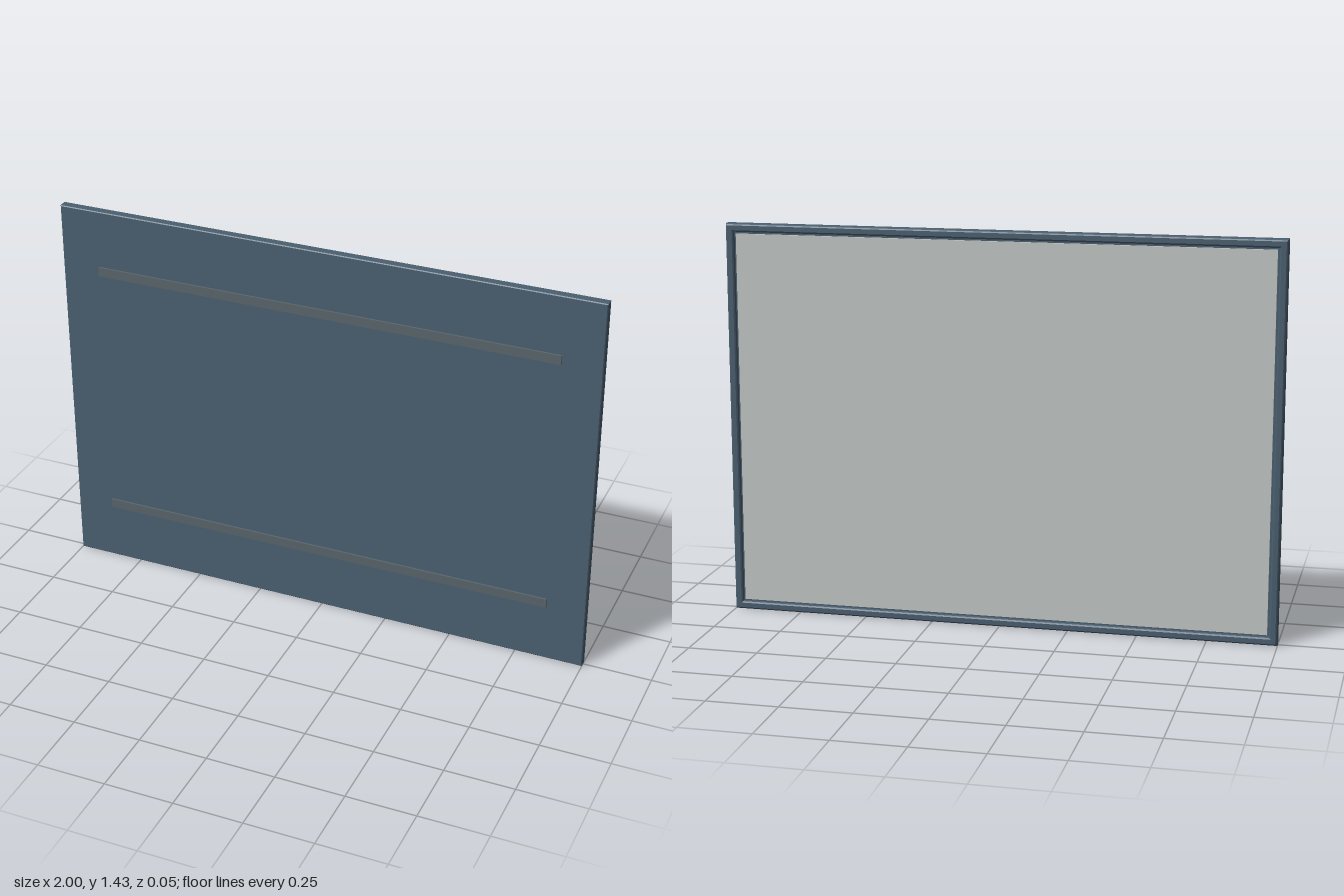
import * as THREE from 'three';

const W = 2, H = 1.43;

// Sweeps a profile of [inset, z] pairs around the rectangle, with mitred corners.
function sweepRectangle(profile) {
  const positions = [];
  const corner = ([inset, z], k) => {
    const sx = k === 0 || k === 1 ? 1 : -1;
    const sy = k === 1 || k === 2 ? 1 : -1;
    return [sx * (W / 2 - inset), sy * (H / 2 - inset), z];
  };
  for (let i = 0; i < profile.length - 1; i++) {
    for (let k = 0; k < 4; k++) {
      const n = (k + 1) % 4;
      const a = corner(profile[i], k), b = corner(profile[i], n);
      const c = corner(profile[i + 1], n), d = corner(profile[i + 1], k);
      positions.push(...a, ...d, ...c, ...a, ...c, ...b);
    }
  }
  const geometry = new THREE.BufferGeometry();
  geometry.setAttribute('position', new THREE.Float32BufferAttribute(positions, 3));
  geometry.computeVertexNormals();
  return geometry;
}

export function createModel() {
  const group = new THREE.Group();
  const frameMaterial = new THREE.MeshStandardMaterial({ color: 0x4a5f70 });
  const panelMaterial = new THREE.MeshStandardMaterial({ color: 0xc4c9c7 });
  const railMaterial = new THREE.MeshStandardMaterial({ color: 0x59666b });

  const add = (name, geometry, material, x, y, z) => {
    const mesh = new THREE.Mesh(geometry, material);
    mesh.name = name;
    mesh.position.set(x, y, z);
    group.add(mesh);
  };

  // Slab with bevelled rim, closed at the front and recessed at the back
  const casing = sweepRectangle([
    [H / 2, 0.017], [0.003, 0.017], [0, 0.014],
    [0, -0.014], [0.003, -0.021], [0.007, -0.024],
    [0.024, -0.024], [0.029, -0.021], [0.03, -0.017],
    [0.03, -0.008], [H / 2, -0.008],
  ]);
  add('casing', casing, frameMaterial, 0, H / 2, 0);

  // Pale panel set into the recess, leaving a narrow groove around it
  add('panel', new THREE.BoxGeometry(W - 0.074, H - 0.074, 0.012),
    panelMaterial, 0, H / 2, -0.01);

  // Two long rails on the front
  for (const [name, y] of [['upperRail', 1.2], ['lowerRail', 0.235]]) {
    add(name, new THREE.BoxGeometry(1.715, 0.034, 0.012), railMaterial, 0, y, 0.018);
  }
  return group;
}
